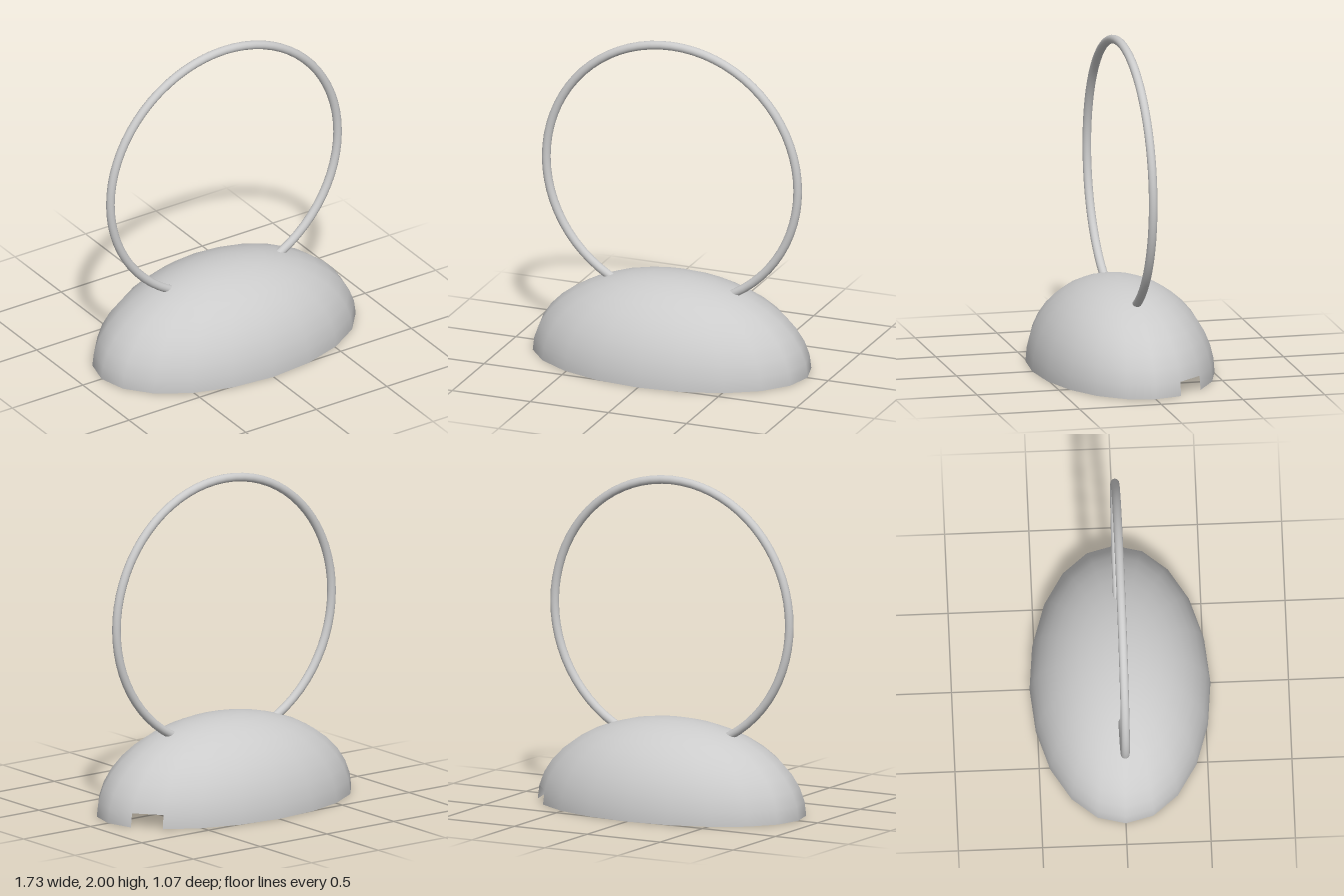
import * as THREE from 'three';

export function createModel() {
  const model = new THREE.Group();
  const mat = new THREE.MeshStandardMaterial({ color: 0xcccccc, side: THREE.DoubleSide });

  // Hollow half-ellipsoid base, open underneath
  const sides = 20, rows = 10;
  const domeGeo = new THREE.SphereGeometry(1, sides, rows, 0, Math.PI * 2, 0, Math.PI / 2);

  // Cable opening: leave out one quad of the bottom row (the pole row has one triangle per side)
  const index = Array.from(domeGeo.index.array);
  const gapSide = 11;
  index.splice(sides * 3 + (rows - 2) * sides * 6 + gapSide * 6, 6);
  domeGeo.setIndex(index);
  domeGeo.scale(0.867, 0.54, 0.537);

  const dome = new THREE.Mesh(domeGeo, mat);
  dome.name = 'domeBase';
  model.add(dome);

  // Upright ring, its lowest part passing through the dome
  const tube = 0.026, radius = 0.805;
  const ring = new THREE.Mesh(new THREE.TorusGeometry(radius, tube, 16, 72), mat);
  ring.name = 'ring';
  ring.position.y = 2 - radius - tube;
  model.add(ring);

  return model;
}
